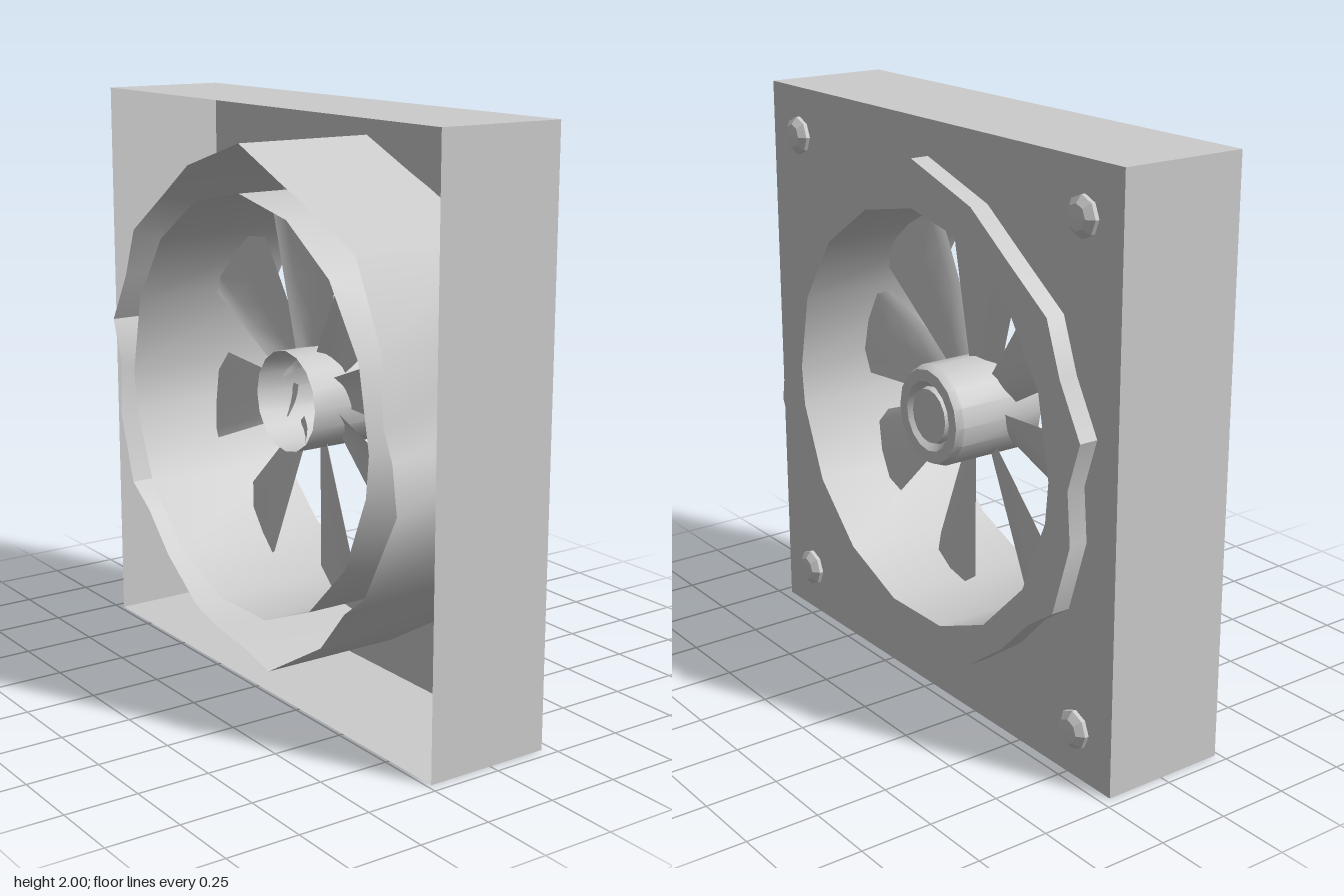
import * as THREE from 'three';
import { toCreasedNormals } from 'three/addons/utils/BufferGeometryUtils.js';

const sheet = new THREE.MeshStandardMaterial({ color: 0xcccccc, side: THREE.DoubleSide });
const faceted = new THREE.MeshStandardMaterial({ color: 0xcccccc, flatShading: true });

const BACK = -0.235, FRONT = 0.214, HALF_Z = 0.962;
const DUCT_BACK = -0.3, DUCT_FRONT = 0.28;

// Profiles are drawn as (u, v) with u = -z and v = height above the fan axis.
function add(parent, name, geometry, material) {
  const mesh = new THREE.Mesh(geometry, material);
  mesh.name = name;
  parent.add(mesh);
  return mesh;
}

function polygonPath(PathType, points) {
  return new PathType(points.map(([u, v]) => new THREE.Vector2(u, v)));
}

// Lathe turned so that its axis points along +x
function latheX(points, sides) {
  const g = new THREE.LatheGeometry(points.map(([r, x]) => new THREE.Vector2(r, x)), sides);
  return g.rotateZ(-Math.PI / 2);
}

// Square casing: thin front plate with a round opening, four walls, open back
function buildCasing() {
  const casing = new THREE.Group();
  casing.name = 'casing';
  const plate = polygonPath(THREE.Shape, [[-HALF_Z, -1], [HALF_Z, -1], [HALF_Z, 1], [-HALF_Z, 1]]);
  const opening = new THREE.Path();
  opening.absarc(0, 0, 0.76, 0, Math.PI * 2, true);
  plate.holes.push(opening);
  add(casing, 'frontPlate', new THREE.ShapeGeometry(plate, 16).rotateY(Math.PI / 2).translate(FRONT, 0, 0), sheet);

  const depth = FRONT - BACK, mid = (FRONT + BACK) / 2;
  for (const s of [1, -1]) {
    const side = new THREE.PlaneGeometry(depth, 2);
    if (s < 0) side.rotateY(Math.PI);
    add(casing, s > 0 ? 'frontWall' : 'backWall', side.translate(mid, 0, s * HALF_Z), sheet);
    const cap = new THREE.PlaneGeometry(depth, 2 * HALF_Z).rotateX(-s * Math.PI / 2);
    add(casing, s > 0 ? 'topWall' : 'bottomWall', cap.translate(mid, s, 0), sheet);
  }
  return casing;
}

// Front edge of the duct, bent slightly forward around one corner
function rimX(u, v) {
  return DUCT_FRONT + 0.015 * Math.max(0, 1 - Math.hypot(u - 0.5, v + 0.645) / 0.32);
}

// Thin wall following a closed loop from the back of the duct to its rim
function wallGeometry(loop) {
  const positions = [];
  loop.forEach(([u, v], i) => {
    const [s, t] = loop[(i + 1) % loop.length];
    const a = [DUCT_BACK, v, -u], b = [DUCT_BACK, t, -s];
    const c = [rimX(s, t), t, -s], d = [rimX(u, v), v, -u];
    positions.push(...a, ...b, ...c, ...a, ...c, ...d);
  });
  const g = new THREE.BufferGeometry();
  g.setAttribute('position', new THREE.Float32BufferAttribute(positions, 3));
  return toCreasedNormals(g, 0.65);
}

// Duct: irregular outer shell and faceted bore, joined by a front rim, open at the back
function buildDuct() {
  const duct = new THREE.Group();
  duct.name = 'duct';
  const outer = [
    [0, 0.88], [0.32, 0.78], [0.49, 0.66], [0.7, 0.515], [0.765, 0.34], [0.865, 0.165],
    [0.81, 0], [0.825, -0.18], [0.745, -0.43], [0.63, -0.51], [0.5, -0.645], [0.31, -0.78],
    [0.175, -0.82], [0.01, -0.84], [-0.16, -0.88], [-0.465, -0.7], [-0.595, -0.545],
    [-0.7, -0.465], [-0.86, -0.16], [-0.835, 0], [-0.79, 0.1], [-0.775, 0.33],
    [-0.645, 0.6], [-0.345, 0.735], [-0.245, 0.775],
  ];
  // Upper half of the bore has corners on the axis, lower half is shifted half a step
  const bore = [];
  const step = Math.PI / 8;
  for (let i = 0; i <= 16; i++) {
    const a = i <= 8 ? i * step : (i - 0.5) * step;
    bore.push([0.718 * Math.cos(a), 0.718 * Math.sin(a)]);
  }
  add(duct, 'outerShell', wallGeometry(outer), sheet);
  add(duct, 'bore', wallGeometry(bore), sheet);

  const shape = polygonPath(THREE.Shape, outer);
  shape.holes.push(polygonPath(THREE.Path, bore));
  const rim = new THREE.ShapeGeometry(shape).rotateY(Math.PI / 2);
  const p = rim.attributes.position;
  for (let i = 0; i < p.count; i++) p.setX(i, rimX(-p.getZ(i), p.getY(i)));
  add(duct, 'frontRim', rim, sheet);
  return duct;
}

// Gently pitched blade: rows from root to tip, five columns across
function bladeGeometry() {
  const tipU = [-0.1, -0.03, 0.08, 0.185, 0.21];
  const tipV = [0.615, 0.675, 0.68, 0.66, 0.61];
  const rows = 5, cols = 5, positions = [], index = [];
  for (let r = 0; r < rows; r++) {
    const t = r / (rows - 1);
    for (let c = 0; c < cols; c++) {
      const f = c / (cols - 1);
      const u = THREE.MathUtils.lerp(-0.025 + 0.105 * f, tipU[c], t);
      const v = THREE.MathUtils.lerp(0.14, tipV[c], t);
      const x = THREE.MathUtils.lerp(0.03 - 0.05 * f, 0.045 - 0.07 * f, t);
      positions.push(x + 0.01 * Math.sin(Math.PI * f), v, -u);
      if (r && c) {
        const d = r * cols + c, b = d - cols;
        index.push(b - 1, b, d, b - 1, d, d - 1);
      }
    }
  }
  const g = new THREE.BufferGeometry();
  g.setAttribute('position', new THREE.Float32BufferAttribute(positions, 3));
  g.setIndex(index);
  g.computeVertexNormals();
  return g;
}

// Rotor: hollow hub with a stepped nose and eight slightly uneven blades
function buildRotor() {
  const rotor = new THREE.Group();
  rotor.name = 'rotor';
  const hub = latheX([
    [0.175, -0.12], [0.175, 0.2], [0.163, 0.225], [0.122, 0.225],
    [0.1, 0.2], [0.094, 0.22], [0, 0.22],
  ], 16);
  add(rotor, 'hub', toCreasedNormals(hub, 0.5), sheet);
  const blade = bladeGeometry();
  for (const degrees of [0, 45.5, 95.5, 141.5, 187, 233.5, 275.5, 317.5]) {
    add(rotor, 'blade', blade, sheet).rotation.x = -THREE.MathUtils.degToRad(degrees);
  }
  return rotor;
}

export function createModel() {
  const model = new THREE.Group();
  model.name = 'ductFan';
  const body = new THREE.Group();
  body.name = 'body';
  body.position.y = 1;
  model.add(body);
  body.add(buildCasing(), buildDuct(), buildRotor());

  // Corner bolts
  const bolt = latheX([[0.066, 0], [0.066, 0.014], [0.042, 0.034], [0, 0.038]], 8);
  for (const sy of [1, -1]) {
    for (const sz of [1, -1]) {
      add(body, 'bolt', bolt, faceted).position.set(FRONT, sy * 0.83, sz * 0.788);
    }
  }
  return model;
}
